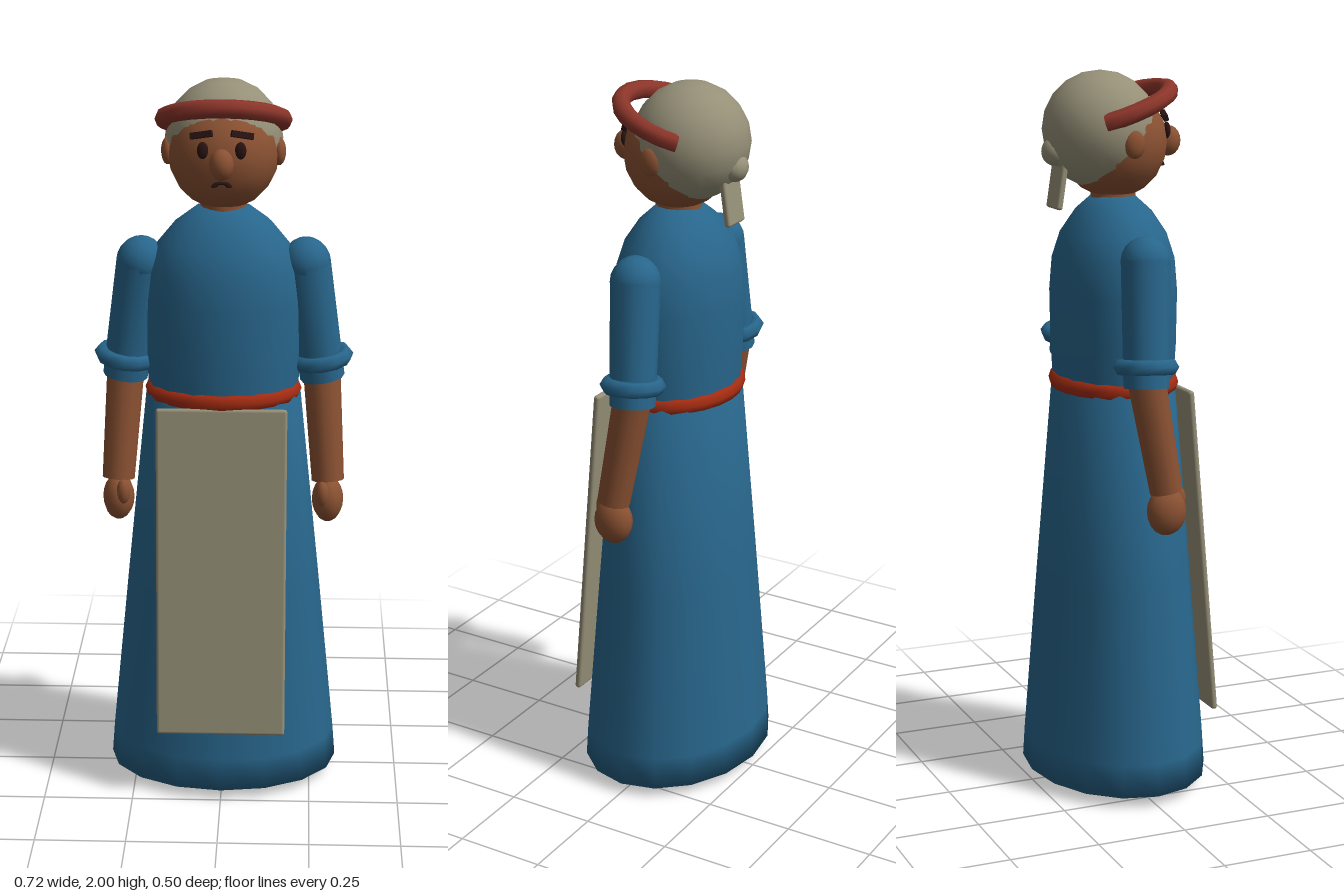
import * as THREE from 'three';
import { RoundedBoxGeometry } from 'three/addons/geometries/RoundedBoxGeometry.js';

const mat = (name, color, side = THREE.FrontSide) => {
  const m = new THREE.MeshStandardMaterial({ color, side });
  m.name = name;
  return m;
};

export function createModel() {
  const root = new THREE.Group();
  root.name = 'figure';
  const blue = mat('blue cloth', 0x28668c);
  const linen = mat('linen', 0x969078);
  const skin = mat('skin', 0x8a5132);
  const red = mat('belt red', 0xa52c12);
  const bandRed = mat('headband red', 0x8c352a, THREE.DoubleSide);
  const dark = mat('dark brown', 0x2a1412);

  const add = (name, geo, material, x = 0, y = 0, z = 0, parent = root) => {
    const m = new THREE.Mesh(geo, material);
    m.name = name;
    m.position.set(x, y, z);
    parent.add(m);
    return m;
  };
  const ball = (name, material, [x, y, z], [rx, ry, rz], parent = root, seg = 14) => {
    const m = add(name, new THREE.SphereGeometry(1, seg, 10), material, x, y, z, parent);
    m.scale.set(rx, ry, rz);
    return m;
  };
  const up = new THREE.Vector3(0, 1, 0);
  const limb = (name, material, a, b, ra, rb, parent) => {
    const A = new THREE.Vector3(...a), B = new THREE.Vector3(...b);
    const d = A.clone().sub(B);
    const m = add(name, new THREE.CylinderGeometry(ra, rb, d.length(), 12), material, 0, 0, 0, parent);
    m.position.copy(A).add(B).multiplyScalar(0.5);
    m.quaternion.setFromUnitVectors(up, d.normalize());
    return m;
  };
  const lathe = (name, pts, zScale) => {
    const g = new THREE.LatheGeometry(pts.map(([r, y]) => new THREE.Vector2(r, y)), 16);
    return add(name, g.scale(1, 1, zScale), blue);
  };

  // Gown
  lathe('skirt', [[0, 0.03], [0.325, 0.03], [0.318, 0.12], [0.27, 0.6], [0.212, 1.16], [0, 1.16]], 0.77);
  lathe('bodice', [[0.205, 1.13], [0.214, 1.25], [0.217, 1.4], [0.208, 1.49], [0.18, 1.56],
    [0.13, 1.62], [0.075, 1.66], [0, 1.67]], 0.78);
  const belt = add('belt', new THREE.TorusGeometry(0.191, 0.026, 8, 24).rotateX(Math.PI / 2), red, 0, 1.148, 0);
  belt.scale.z = 0.8;
  const apron = add('apron', new RoundedBoxGeometry(0.358, 0.935, 0.018, 2, 0.008), linen, 0, 0.667, 0.2);
  apron.rotation.x = -0.087;

  // Head
  add('neck', new THREE.CylinderGeometry(0.06, 0.065, 0.1, 12), skin, 0, 1.66, 0);
  ball('head', skin, [0, 1.805, 0], [0.15, 0.152, 0.148], root, 20);
  ball('headscarf', linen, [0, 1.84, -0.038], [0.16, 0.16, 0.16], root, 18);
  ball('scarfKnot', linen, [0, 1.785, -0.172], [0.042, 0.038, 0.034]);
  const tail = add('scarfTail', new RoundedBoxGeometry(0.085, 0.14, 0.018, 2, 0.007), linen, 0, 1.7, -0.162);
  tail.rotation.x = 0.15;
  const band = new THREE.TorusGeometry(0.16, 0.025, 8, 16, Math.PI * 4 / 3);
  band.rotateZ(-Math.PI / 6).rotateX(Math.PI / 2).rotateX(-0.34);
  add('headband', band, bandRed, 0, 1.895, 0);
  ball('nose', skin, [0, 1.803, 0.163], [0.033, 0.042, 0.036]);
  const mouth = add('mouth', new THREE.TorusGeometry(0.02, 0.008, 6, 10, Math.PI), dark, 0, 1.738, 0.136);
  mouth.scale.y = 0.6;

  // Mirrored parts
  for (const s of [1, -1]) {
    const side = s > 0 ? 'left' : 'right';
    ball(side + 'Ear', skin, [s * 0.15, 1.81, 0], [0.018, 0.038, 0.03]);
    ball(side + 'Eye', dark, [s * 0.05, 1.836, 0.137], [0.015, 0.023, 0.01]);
    const brow = add(side + 'Eyebrow', new THREE.BoxGeometry(0.06, 0.016, 0.014), dark, s * 0.054, 1.876, 0.128);
    brow.rotation.set(-0.3, s * 0.3, -s * 0.1);
    ball(side + 'Shoe', dark, [s * 0.128, 0.04, 0.057], [0.06, 0.04, 0.11]);

    const arm = new THREE.Group();
    arm.name = side + 'Arm';
    root.add(arm);
    ball('shoulder', blue, [s * 0.225, 1.505, 0], [0.068, 0.07, 0.068], arm, 12);
    const sleeve = limb('sleeve', blue, [s * 0.225, 1.51, 0], [s * 0.274, 1.175, -0.018], 0.067, 0.062, arm);
    const cuff = add('cuff', new THREE.TorusGeometry(0.066, 0.023, 6, 12).rotateX(Math.PI / 2),
      blue, s * 0.271, 1.232, -0.018, arm);
    cuff.quaternion.copy(sleeve.quaternion);
    limb('forearm', skin, [s * 0.272, 1.2, -0.018], [s * 0.293, 0.89, 0.033], 0.052, 0.045, arm);
    ball('hand', skin, [s * 0.293, 0.835, 0.034], [0.044, 0.066, 0.056], arm, 12);
    ball('thumb', skin, [s * 0.277, 0.862, 0.076], [0.019, 0.036, 0.021], arm, 10);
  }
  return root;
}
